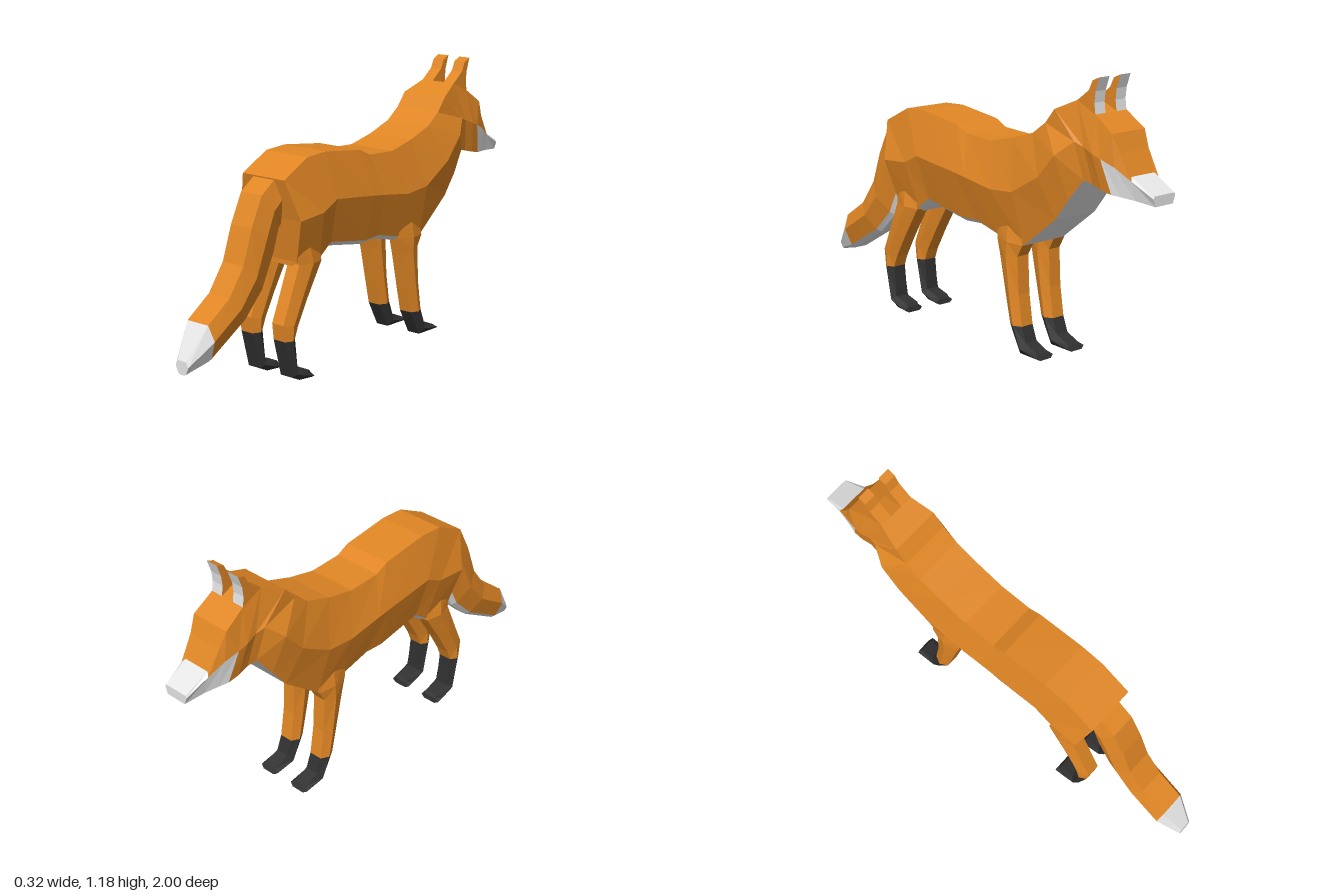
import * as THREE from 'three';

const flat = (name, color) => Object.assign(new THREE.MeshStandardMaterial({ color }), { name });

// Joins mirrored half rings into a closed flat-sided solid.
// Each half ring lists [x, y, z] from top to bottom; paint(segment, band) picks the material,
// where band -1 is the strip across the top and band n - 1 the strip across the bottom.
function loft(name, halves, paint, materials) {
  const n = halves[0].length, N = 2 * n;
  const rings = halves.map(h => [...h, ...h.map(([x, y, z]) => [-x, y, z]).reverse()]);
  const faces = materials.map(() => []);
  const V = p => new THREE.Vector3(...p);
  let volume = 0;
  const tri = (m, a, b, c) => {
    faces[m].push([a, b, c]);
    volume += V(a).dot(V(b).cross(V(c)));
  };
  const last = rings.length - 1;
  for (let i = 0; i < last; i++) {
    for (let j = 0; j < N; j++) {
      const k = (j + 1) % N, band = j < n ? j : j === N - 1 ? -1 : N - 2 - j;
      const m = paint(i, band), [p, q] = [rings[i], rings[i + 1]];
      if (j < n) {
        tri(m, p[j], p[k], q[k]); tri(m, p[j], q[k], q[j]);
      } else {
        tri(m, p[j], p[k], q[j]); tri(m, p[k], q[k], q[j]);
      }
    }
  }
  // End caps
  for (let j = 0; j < n - 1; j++) {
    const cap = (r, m, flip) => {
      const [a, b, c, d] = [r[j], r[j + 1], r[N - 2 - j], r[N - 1 - j]];
      if (flip) { tri(m, a, c, b); tri(m, a, d, c); } else { tri(m, a, b, c); tri(m, a, c, d); }
    };
    cap(rings[0], paint(0, 0), true);
    cap(rings[last], paint(last - 1, 0), false);
  }
  const pos = [], geo = new THREE.BufferGeometry();
  faces.forEach((list, m) => {
    const start = pos.length / 3;
    for (const [a, b, c] of list) pos.push(...a, ...(volume < 0 ? [...c, ...b] : [...b, ...c]));
    if (list.length) geo.addGroup(start, pos.length / 3 - start, m);
  });
  geo.setAttribute('position', new THREE.Float32BufferAttribute(pos, 3));
  geo.computeVertexNormals();
  const mesh = new THREE.Mesh(geo, materials);
  mesh.name = name;
  return mesh;
}

export function createModel() {
  const fox = new THREE.Group();
  fox.name = 'fox';
  const materials = [flat('orangeFur', 0xe08624), flat('whiteFur', 0xe6e6e6), flat('blackFur', 0x303030)];
  const ORANGE = 0, WHITE = 1, BLACK = 2;

  // Torso of constant width: z, y of the top edge, side edge and lower edge
  const torso = [
    [.53, .855, .49, .69, .46, .51], [.39, .925, .35, .70, .32, .50],
    [.28, .93, .27, .74, .25, .55], [.06, .90, .03, .71, .03, .51],
    [0, .87, -.04, .70, -.06, .515], [-.15, .862, -.20, .675, -.20, .48],
    [-.28, .89, -.33, .685, -.35, .46], [-.40, .93, -.48, .77, -.53, .60],
  ];
  // Neck and head: the same edges, then the half widths at the top and side
  const head = [
    [-.47, .98, -.57, .87, -.60, .69, .11, .16],
    [-.52, 1.04, -.64, .93, -.67, .78, .11, .12],
    [-.62, 1.085, -.68, .915, -.71, .77, .085, .11],
    [-.72, 1.04, -.73, .895, -.76, .756, .085, .115],
    [-.81, .98, -.77, .88, -.81, .745, .09, .11],
    [-.842, .91, -.83, .855, -.85, .741, .08, .095],
    [-.89, .825, -.90, .81, -.91, .735, .062, .075],
    [-1, .767, -1, .757, -1, .725, .055, .06],
  ];
  const section = ([tz, ty, mz, my, lz, ly, top = .11, mid = .16]) => {
    const low = Math.min(.11, mid * .8), drop = lz > -.3 ? .02 : 0;
    return [[top, ty, tz], [mid, my, mz], [low, ly, lz], [low * .75, ly - drop, lz]];
  };
  fox.add(loft('body', [...torso, ...head].map(section),
    (i, band) => (band >= 2 || i >= 14 || (i >= 12 && band === 1) ? WHITE : ORANGE), materials));

  // Tail: z, y of the upper and lower edges, width scale
  const tail = [
    [.52, .855, .45, .70, 1], [.60, .80, .50, .65, 1], [.66, .68, .53, .56, 1],
    [.71, .54, .60, .42, 1], [.79, .43, .70, .32, 1], [.91, .35, .89, .21, 1],
    [1, .22, 1, .17, .42],
  ];
  fox.add(loft('tail', tail.map(([tz, ty, lz, ly, s]) => {
    const at = (x, t) => [x * s, ty + (ly - ty) * t, tz + (lz - tz) * t];
    return [at(.055, 0), at(.08, .45), at(.05, 1), at(.03, 1.12)];
  }), (i, band) => (band >= 2 || i >= 5 ? WHITE : ORANGE), materials));

  // Legs: z, y of the rear and front edges from hip to toe, with black socks
  const frontLeg = [
    [-.19, .56, -.35, .56], [-.20, .47, -.35, .46], [-.22, .39, -.322, .41],
    [-.255, .23, -.33, .25], [-.28, .12, -.35, .12], [-.34, .006, -.375, .055],
    [-.46, .002, -.445, .024],
  ];
  const hindLeg = [
    [.47, .60, .33, .58], [.455, .50, .32, .49], [.51, .37, .405, .355], [.553, .27, .465, .25],
    [.545, .20, .485, .20], [.505, .04, .47, .065], [.46, .018, .40, .045], [.385, .01, .39, .032],
  ];
  const leg = (name, edges, side) => {
    const mesh = loft(name, edges.map(([bz, by, fz, fy], i) => {
      const s = i ? 1 : .7;
      return [[.03 * s, by, bz], [.048 * s, (by + fy) / 2, (bz + fz) / 2], [.03 * s, fy, fz]];
    }), i => (i >= 4 ? BLACK : ORANGE), materials);
    mesh.position.x = side * .088;
    fox.add(mesh);
  };

  // Ears: flat prisms with pale fronts
  const ear = [
    [-.60, 1.06, -.72, 1.02], [-.62, 1.085, -.711, 1.085],
    [-.68, 1.13, -.716, 1.13], [-.70, 1.17, -.735, 1.185],
  ];
  for (const side of [1, -1]) {
    const name = side > 0 ? 'left' : 'right';
    leg(name + 'FrontLeg', frontLeg, side);
    leg(name + 'HindLeg', hindLeg, side);
    const mesh = loft(name + 'Ear', ear.map(([bz, by, fz, fy]) => [[.0275, by, bz], [.0275, fy, fz]]),
      (i, band) => (band === 1 ? WHITE : ORANGE), materials);
    mesh.position.x = side * .0575;
    fox.add(mesh);
  }
  return fox;
}
